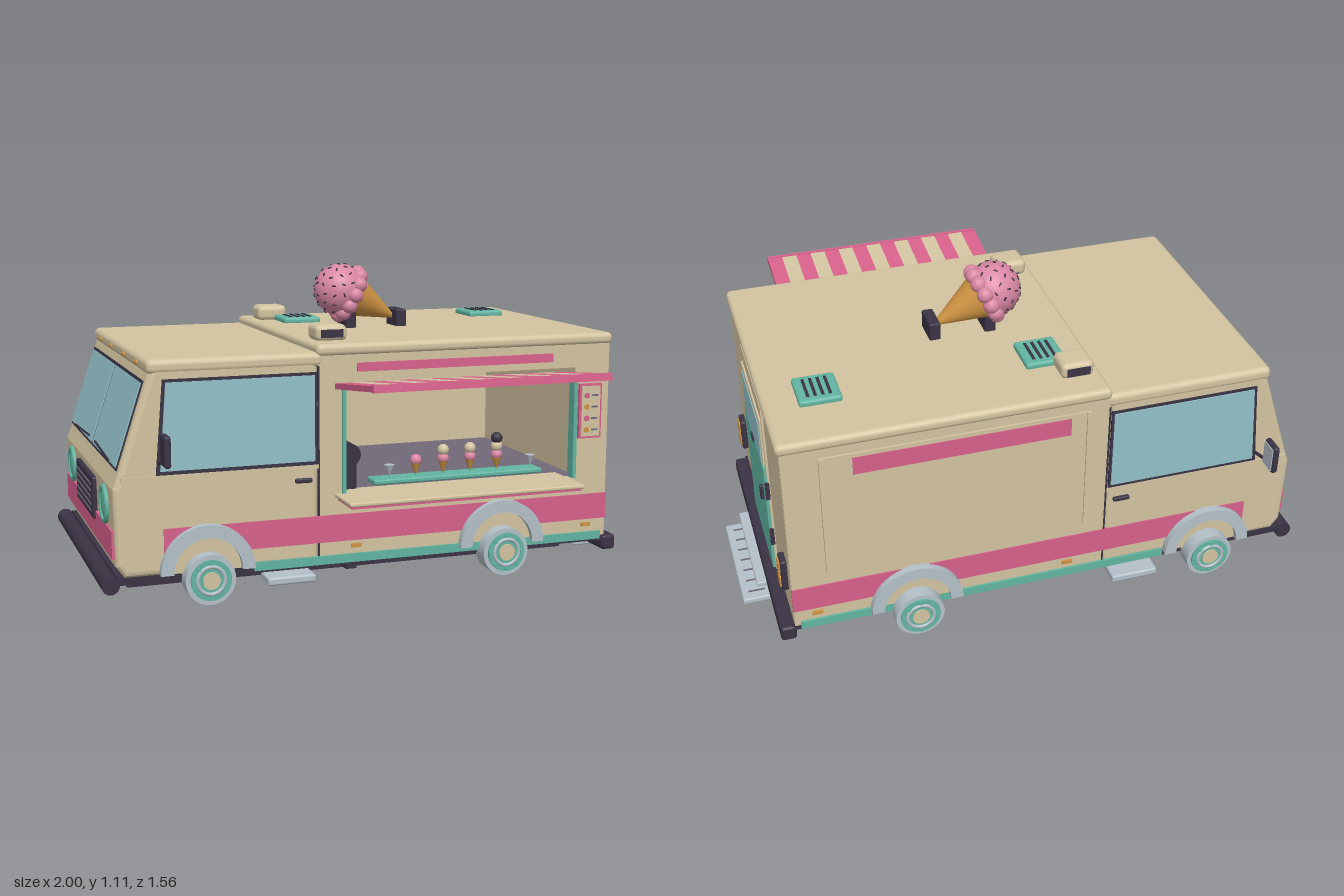
import * as THREE from 'three';
import { RoundedBoxGeometry } from 'three/addons/geometries/RoundedBoxGeometry.js';

const mat = (name, color) => {
  const m = new THREE.MeshStandardMaterial({ color });
  m.name = name;
  return m;
};

export function createModel() {
  const cream = mat('cream', 0xd3c4a0), pink = mat('pink', 0xd8618c), teal = mat('teal', 0x62b5a2),
    dark = mat('dark plum', 0x3a3344), glass = mat('glass', 0x92c0c8), grey = mat('pale grey', 0xb4c0c8),
    gold = mat('waffle gold', 0xcf9442), scoopPink = mat('ice cream', 0xda87a4), inner = mat('interior', 0x716879);
  const root = new THREE.Group();
  root.name = 'iceCreamTruck';
  const ZC = -0.11, HW = 0.51; // body centre line and half width

  const add = (name, geo, m, x = 0, y = 0, z = 0, parent = root) => {
    const mesh = new THREE.Mesh(geo, m);
    mesh.name = name;
    mesh.position.set(x, y, z);
    parent.add(mesh);
    return mesh;
  };
  // Box given by its extents, optionally rounded
  const box = (name, m, x0, x1, y0, y1, z0, z1, r = 0, parent = root) => {
    const s = [x1 - x0, y1 - y0, Math.abs(z1 - z0)];
    const g = r ? new RoundedBoxGeometry(...s, 3, r) : new THREE.BoxGeometry(...s);
    return add(name, g, m, (x0 + x1) / 2, (y0 + y1) / 2, (z0 + z1) / 2, parent);
  };
  // Box on a flank: s is the side, a and b are distances from the centre line
  const sideBox = (name, m, s, x0, x1, y0, y1, a, b, r) => box(name, m, x0, x1, y0, y1, ZC + s * a, ZC + s * b, r);
  const poly = (pts) => new THREE.Shape(pts.map(([x, y]) => new THREE.Vector2(x, y)));
  const rect = (x0, x1, y0, y1) => poly([[x0, y0], [x1, y0], [x1, y1], [x0, y1]]);
  // Extruded plate lying on a flank
  const sidePlate = (name, m, s, shape, d, t) => add(name,
    new THREE.ExtrudeGeometry(shape, { depth: t, bevelEnabled: false, curveSegments: 24 }), m, 0, 0, s > 0 ? ZC + d : ZC - d - t);
  // Cylinder along the z axis
  const disc = (name, m, r, x, y, z, t, parent) => {
    const c = add(name, new THREE.CylinderGeometry(r, r, t, 32), m, x, y, z, parent);
    c.rotation.x = Math.PI / 2;
    return c;
  };

  // Cab
  const cab = poly([[-0.25, 0.12], [-0.92, 0.12], [-0.95, 0.16], [-0.955, 0.42], [-0.94, 0.46], [-0.825, 0.81], [-0.79, 0.835], [-0.25, 0.835]]);
  const b = 0.02;
  add('cab', new THREE.ExtrudeGeometry(cab, { depth: 2 * HW - 2 * b, bevelSize: b, bevelThickness: b, bevelOffset: -b, bevelSegments: 3 }),
    cream, 0, 0, ZC - HW + b);
  box('cabRoof', cream, -0.835, -0.23, 0.795, 0.845, ZC - HW - 0.003, ZC + HW + 0.003, 0.02);

  // Windscreen, tilted with the front
  const screen = new THREE.Group();
  screen.name = 'windscreen';
  screen.position.set(-0.8825, 0.635, ZC);
  screen.rotation.z = -Math.atan2(0.115, 0.35);
  root.add(screen);
  for (const s of [-1, 1]) {
    box('windscreenFrame', dark, -0.004, 0.004, -0.165, 0.145, s * 0.005, s * 0.475, 0, screen);
    box('windscreenGlass', glass, -0.008, 0, -0.155, 0.135, s * 0.012, s * 0.465, 0, screen);
    const wiper = box('wiper', dark, -0.013, -0.007, -0.15, -0.144, s * 0.06, s * 0.36, 0, screen);
    wiper.rotation.x = s * 0.04;
  }
  for (const z of [-0.35, -0.12, 0.12, 0.35]) box('roofMarker', gold, -0.842, -0.815, 0.812, 0.826, ZC + z - 0.017, ZC + z + 0.017, 0.005);

  // Nose
  box('noseStripe', pink, -0.96, -0.945, 0.185, 0.28, ZC - 0.49, ZC + 0.49);
  box('grille', dark, -0.97, -0.94, 0.25, 0.4, ZC - 0.18, ZC + 0.18, 0.008);
  for (let i = 0; i < 5; i++) box('grilleBar', inner, -0.973, -0.965, 0.272 + i * 0.024, 0.28 + i * 0.024, ZC - 0.155, ZC + 0.155);
  for (const s of [-1, 1]) {
    const rim = add('headlightRim', new THREE.TorusGeometry(0.058, 0.011, 10, 32), teal, -0.956, 0.345, ZC + s * 0.35);
    rim.rotation.y = Math.PI / 2;
    const lamp = add('headlight', new THREE.SphereGeometry(0.055, 24, 12), teal, -0.953, 0.345, ZC + s * 0.35);
    lamp.scale.x = 0.25;
  }

  // Box body with the serving opening
  const wall = rect(-0.25, 0.86, 0.12, 0.85);
  wall.holes.push(rect(-0.155, 0.725, 0.345, 0.75));
  sidePlate('servingWall', cream, 1, wall, HW - 0.03, 0.03);
  sideBox('farWall', cream, -1, -0.25, 0.86, 0.12, 0.85, HW - 0.03, HW);
  box('rearWall', cream, 0.83, 0.862, 0.12, 0.85, ZC - HW, ZC + HW, 0.012);
  box('roof', cream, -0.255, 0.872, 0.83, 0.872, ZC - HW - 0.007, ZC + HW + 0.007, 0.018);
  box('interiorFloor', inner, -0.25, 0.83, 0.125, 0.31, ZC - HW + 0.03, ZC + HW - 0.03);

  // Serving opening
  for (const [x0, x1] of [[-0.165, -0.152], [0.718, 0.732]]) box('openingTrim', teal, x0, x1, 0.345, 0.73, 0.37, 0.41);
  box('counter', cream, -0.19, 0.69, 0.34, 0.354, 0.33, 0.56, 0.005);
  box('counterTrim', pink, -0.18, 0.68, 0.331, 0.341, 0.39, 0.55);
  box('displayStand', teal, -0.03, 0.62, 0.362, 0.38, 0.28, 0.36, 0.006);
  box('mixer', dark, -0.15, -0.09, 0.34, 0.45, 0.26, 0.35, 0.015);
  disc('mixerHead', dark, 0.04, -0.12, 0.475, 0.31, 0.09);
  [0.04, 0.14, 0.245, 0.35, 0.455, 0.59].forEach((x, i) => {
    const cone = add('sampleCone', new THREE.ConeGeometry(0.018, 0.045, 16), i % 5 ? gold : grey, x, 0.402, 0.32);
    cone.rotation.x = Math.PI;
    for (let k = 0; k < Math.min(i, 5 - i) + (i === 4 ? 2 : 0); k++)
      add('sampleScoop', new THREE.SphereGeometry(0.021, 14, 10), [scoopPink, cream, dark][k % 3], x, 0.435 + k * 0.03, 0.32);
  });

  // Striped awning
  const awning = new THREE.Group();
  awning.name = 'awning';
  awning.position.set(0.235, 0.7275, 0.4);
  awning.rotation.x = -Math.atan2(0.045, 0.38);
  root.add(awning);
  const N = 15, W = 0.85;
  for (let i = 0; i < N; i++) box('awningStripe', i % 2 ? cream : pink, -W / 2 + i * W / N, -W / 2 + (i + 1) * W / N, -0.01, 0.01, 0, 0.375, 0, awning);
  box('awningLip', pink, -W / 2, W / 2, -0.013, 0.013, 0.368, 0.38, 0, awning);

  // Menu board
  box('menuFrame', pink, 0.738, 0.828, 0.49, 0.69, 0.39, 0.412);
  box('menuPanel', cream, 0.746, 0.82, 0.498, 0.682, 0.4, 0.416);
  for (let i = 0; i < 4; i++) {
    disc('menuDot', i % 2 ? pink : gold, 0.01, 0.766, 0.522 + i * 0.042, 0.417, 0.006);
    box('menuLine', inner, 0.785, 0.81, 0.519 + i * 0.042, 0.525 + i * 0.042, 0.414, 0.419);
  }

  // Far side panel
  sideBox('farPanel', cream, -1, -0.17, 0.73, 0.335, 0.8, HW, HW + 0.007);
  for (const x of [-0.175, 0.73]) sideBox('farPanelSeam', cream, -1, x - 0.005, x + 0.01, 0.335, 0.8, HW, HW + 0.013);

  // Parts on both flanks
  for (const s of [-1, 1]) {
    sideBox('topBand', pink, s, -0.11, 0.63, s > 0 ? 0.775 : 0.72, s > 0 ? 0.805 : 0.785, HW, HW + 0.01);
    sideBox('flankStripe', pink, s, -0.79, 0.862, 0.185, 0.28, HW - 0.005, HW + 0.004);
    sideBox('sill', teal, s, -0.48, 0.84, 0.108, 0.138, HW - 0.02, HW + 0.008);
    sideBox('doorSeam', dark, s, -0.252, -0.246, 0.125, 0.8, HW - 0.005, HW + 0.002);
    sideBox('beltLine', cream, s, -0.93, -0.25, 0.448, 0.462, HW - 0.01, HW + 0.006);
    sidePlate('sideWindowFrame', dark, s, poly([[-0.812, 0.462], [-0.255, 0.462], [-0.255, 0.78], [-0.785, 0.78]]), HW - 0.002, 0.006);
    sidePlate('sideWindow', glass, s, poly([[-0.798, 0.475], [-0.264, 0.475], [-0.264, 0.77], [-0.775, 0.77]]), HW, 0.008);
    sideBox('doorHandle', dark, s, -0.335, -0.275, 0.402, 0.418, HW, HW + 0.015, 0.005);
    sideBox('sideStep', grey, s, -0.445, -0.275, 0.062, 0.09, HW - 0.05, HW + 0.05, 0.008);
    for (const x of [-0.115, 0.78]) sideBox('sideMarker', gold, s, x - 0.018, x + 0.018, 0.159, 0.173, HW, HW + 0.008);

    // Wing mirror
    const a = new THREE.Vector3(-0.8, 0.5, ZC + s * (HW - 0.01)), c = new THREE.Vector3(-0.805, 0.535, ZC + s * 0.63);
    add('mirrorArm', new THREE.TubeGeometry(new THREE.LineCurve3(a, c), 1, 0.006, 8), dark);
    sideBox('mirrorShell', dark, s, -0.815, -0.792, 0.515, 0.62, 0.597, 0.67, 0.009);
    sideBox('mirrorGlass', grey, s, -0.794, -0.789, 0.524, 0.612, 0.604, 0.663);

    // Wheels and arches
    for (const x of [-0.645, 0.435]) {
      const arch = new THREE.Shape();
      arch.absarc(x, 0.125, 0.162, 0, Math.PI, false);
      arch.absarc(x, 0.125, 0.118, Math.PI, 0, true);
      sidePlate('wheelArch', grey, s, arch, HW - 0.01, 0.038);
      const liner = new THREE.Shape();
      liner.absarc(x, 0.125, 0.125, 0, Math.PI, false);
      sidePlate('archLiner', cream, s, liner, HW, 0.007);
      const at = (d) => ZC + s * d;
      disc('tyre', grey, 0.086, x, 0.106, at(0.53), 0.07);
      disc('rim', teal, 0.07, x, 0.106, at(0.562), 0.02);
      const ring = add('rimRing', new THREE.TorusGeometry(0.047, 0.007, 8, 32), grey, x, 0.106, at(0.571));
      ring.name = 'rimRing';
      disc('hubCap', cream, 0.03, x, 0.106, at(0.569), 0.016);
      for (let i = 0; i < 8; i++) {
        const t = i * Math.PI / 4;
        disc('wheelNut', teal, 0.007, x + 0.06 * Math.cos(t), 0.106 + 0.06 * Math.sin(t), at(0.573), 0.01);
      }
    }

    // Tail lamps and roof speakers
    box('tailLampFrame', dark, 0.86, 0.884, 0.235, 0.36, ZC + s * 0.393, ZC + s * 0.455, 0.008);
    for (const y of [0.245, 0.303]) box('tailLamp', gold, 0.87, 0.89, y, y + 0.048, ZC + s * 0.402, ZC + s * 0.446, 0.006);
    sideBox('roofSpeaker', cream, s, -0.225, -0.11, 0.868, 0.926, 0.31, 0.415, 0.02);
    sideBox('speakerGrille', dark, s, -0.208, -0.128, 0.882, 0.91, 0.41, 0.42);
  }

  // Rear door
  box('rearDoorFrame', cream, 0.855, 0.87, 0.125, 0.82, ZC - 0.206, ZC + 0.206);
  box('rearDoorSurround', cream, 0.86, 0.877, 0.57, 0.765, ZC - 0.192, ZC + 0.192, 0.005);
  box('rearDoor', teal, 0.86, 0.88, 0.125, 0.57, ZC - 0.197, ZC + 0.197, 0.004);
  box('rearWindow', glass, 0.87, 0.88, 0.575, 0.738, ZC - 0.172, ZC + 0.172);
  box('rearHandle', dark, 0.875, 0.893, 0.4, 0.46, ZC - 0.152, ZC - 0.138, 0.005);
  box('rearLatch', dark, 0.87, 0.886, 0.558, 0.574, ZC - 0.02, ZC + 0.02);
  for (const y of [0.24, 0.44]) box('rearHinge', dark, 0.865, 0.88, y, y + 0.07, ZC - 0.21, ZC - 0.202);

  // Bumpers, chassis and rear steps
  disc('frontBumper', dark, 0.03, -0.97, 0.1, ZC, 2 * HW);
  box('rearBumper', dark, 0.855, 0.91, 0.06, 0.116, ZC - HW, ZC + HW, 0.012);
  box('underside', dark, -0.945, 0.87, 0.098, 0.122, ZC - HW + 0.005, ZC + HW - 0.005);
  for (const s of [-1, 1]) box('chassisRail', dark, -0.88, 0.785, 0.03, 0.08, ZC + s * 0.285 - 0.022, ZC + s * 0.285 + 0.022);
  for (const s of [-1, 1]) for (const x of [-0.8, 0.7]) box('railMount', dark, x - 0.03, x + 0.03, 0.06, 0.1, ZC + s * 0.285 - 0.022, ZC + s * 0.285 + 0.022);
  for (const x of [-0.645, -0.1, 0.435]) box('crossMember', dark, x - 0.02, x + 0.02, 0.055, 0.1, ZC - 0.42, ZC + 0.42);
  box('upperStep', grey, 0.84, 0.945, 0.062, 0.08, ZC - 0.21, ZC + 0.21, 0.006);
  box('lowerStep', grey, 0.89, 1, 0, 0.022, ZC - 0.22, ZC + 0.22, 0.006);
  for (let i = 0; i < 7; i++) box('stepTread', inner, 0.915, 0.975, 0.02, 0.025, ZC - 0.183 + i * 0.06, ZC - 0.177 + i * 0.06);

  // Roof vents
  for (const x of [-0.09, 0.683]) {
    box('roofVent', teal, x - 0.072, x + 0.072, 0.866, 0.892, -0.43, -0.275, 0.01);
    for (let i = 0; i < 4; i++) box('ventSlot', dark, x - 0.042 + i * 0.025, x - 0.032 + i * 0.025, 0.888, 0.895, -0.405, -0.3);
  }

  // Giant ice cream cone on two stands
  for (const [x, w] of [[0.025, 0.055], [0.225, 0.055]]) box('coneStand', dark, x - 0.02, x + 0.02, 0.866, 0.935, -0.1 - w, -0.1 + w, 0.006);
  const ice = new THREE.Group();
  ice.name = 'giantIceCream';
  ice.position.set(0, 1.01, -0.1);
  ice.rotation.z = 1.107;
  root.add(ice);
  add('scoop', new THREE.SphereGeometry(0.097, 40, 28), scoopPink, 0, 0, 0, ice);
  add('cone', new THREE.ConeGeometry(0.09, 0.225, 36), gold, 0, -0.1425, 0, ice).rotation.x = Math.PI;
  for (let i = 0; i < 12; i++) {
    const t = i * Math.PI / 6;
    add('drip', new THREE.SphereGeometry(0.029, 16, 12), scoopPink, 0.085 * Math.cos(t), -0.035, 0.085 * Math.sin(t), ice);
  }
  for (let i = 0; i < 48; i++) {
    const y = 1 - i * 0.023, t = i * 2.39996, r = Math.sqrt(1 - y * y);
    const n = new THREE.Vector3(r * Math.cos(t), y, r * Math.sin(t));
    const bit = add('sprinkle', new THREE.CapsuleGeometry(0.003, 0.01, 3, 6), dark, 0, 0, 0, ice);
    bit.position.copy(n).multiplyScalar(0.098);
    const along = new THREE.Vector3(Math.sin(i * 5), Math.cos(i * 3), Math.sin(i * 7)).cross(n).normalize();
    bit.quaternion.setFromUnitVectors(new THREE.Vector3(0, 1, 0), along);
  }
  return root;
}
